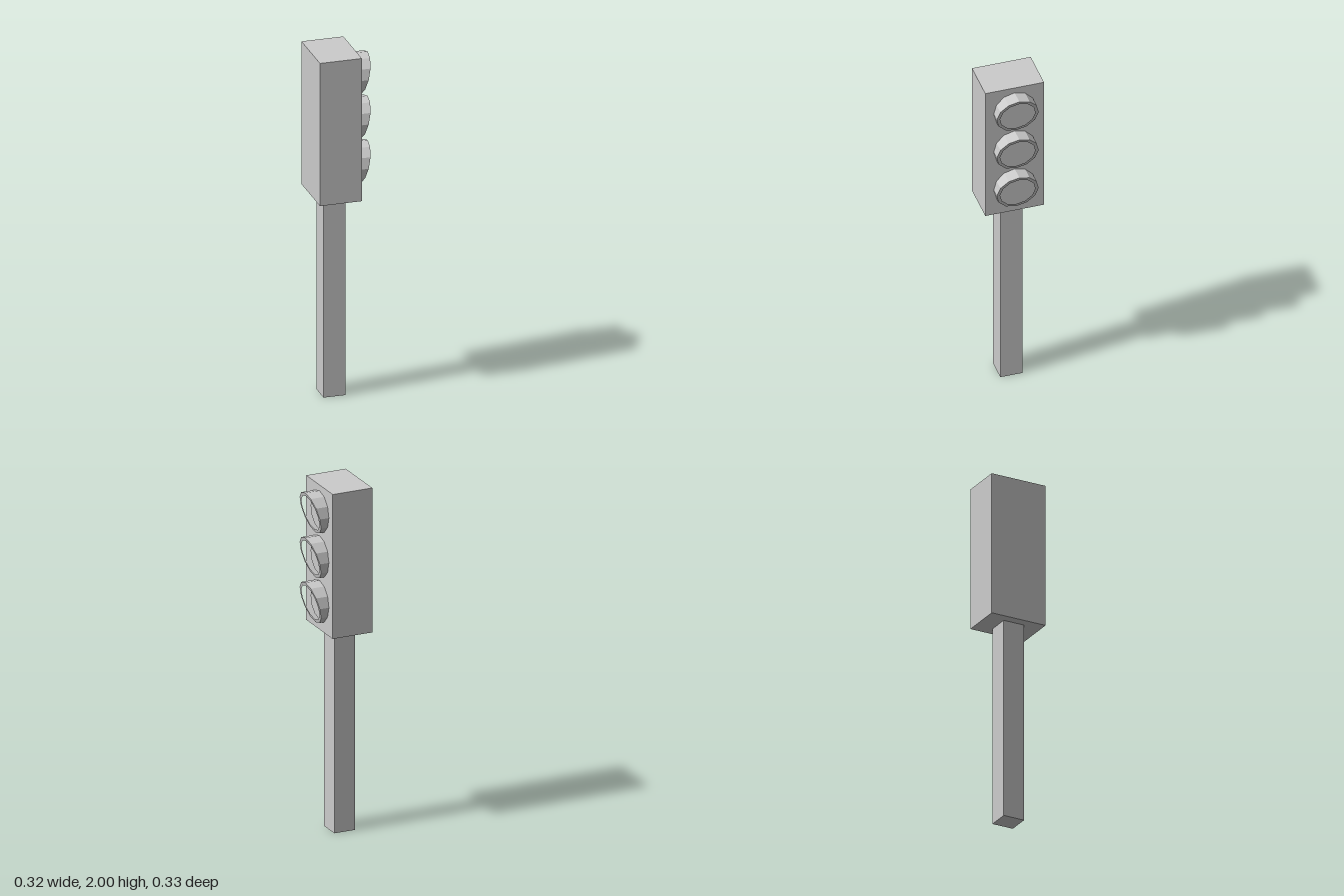
import * as THREE from 'three';

const SIDES = 12, FACE_X = 0.075, OUTER = 0.119, INNER = 0.1;
const material = new THREE.MeshStandardMaterial({ color: 0xcccccc, flatShading: true });

function part(name, geometry, x, y, z = 0) {
  const mesh = new THREE.Mesh(geometry, material);
  mesh.name = name;
  mesh.position.set(x, y, z);
  return mesh;
}

// Regular polygon with a corner at the top
function polygon(radius) {
  return Array.from({ length: SIDES }, (_, i) => {
    const a = (i / SIDES) * Math.PI * 2;
    return new THREE.Vector2(Math.sin(a) * radius, Math.cos(a) * radius);
  });
}

// Faceted ring whose open end is cut at a slant, longer at the top
function visorGeometry() {
  const shape = new THREE.Shape(polygon(OUTER));
  shape.holes.push(new THREE.Path(polygon(INNER)));
  const geometry = new THREE.ExtrudeGeometry(shape, { depth: 1, bevelEnabled: false });
  geometry.rotateY(Math.PI / 2);
  const pos = geometry.attributes.position;
  for (let i = 0; i < pos.count; i++) {
    const rim = 0.054 + 0.26 * pos.getY(i);
    pos.setX(i, pos.getX(i) > 0.5 ? rim : 0);
  }
  geometry.computeVertexNormals();
  return geometry;
}

export function createModel() {
  const model = new THREE.Group();
  model.name = 'trafficLight';

  // Square post and signal box
  model.add(part('post', new THREE.BoxGeometry(0.126, 1.166, 0.126), -0.047, 0.583));
  model.add(part('signalBox', new THREE.BoxGeometry(0.238, 0.834, 0.334), -0.044, 1.583));

  // Three lamps, each a flat lens inside a slanted visor
  const visor = visorGeometry();
  const lens = new THREE.CylinderGeometry(INNER, INNER, 0.006, SIDES).rotateZ(-Math.PI / 2);
  ['top', 'middle', 'bottom'].forEach((label, i) => {
    const lamp = new THREE.Group();
    lamp.name = label + 'Lamp';
    lamp.position.set(FACE_X, 1.848 - i * 0.259, 0);
    lamp.add(part('visor', visor, 0, 0), part('lens', lens, 0.002, 0));
    model.add(lamp);
  });
  return model;
}
